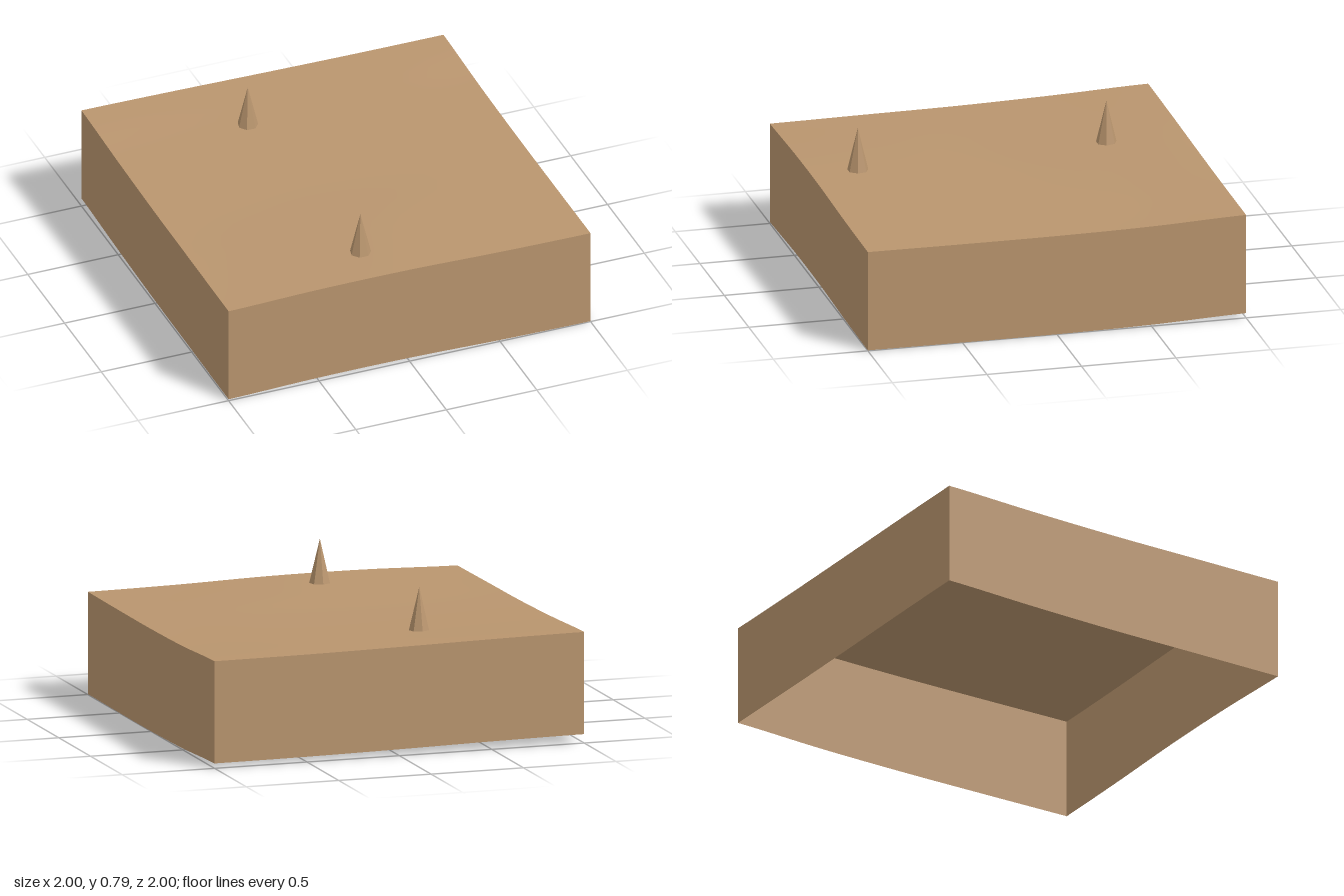
import * as THREE from 'three';

// Terrain heights on a coarse grid: rows run z = -1..1, columns x = -1..1
const HEIGHTS = [
  [0.580, 0.575, 0.567, 0.561, 0.559],
  [0.562, 0.560, 0.556, 0.550, 0.541],
  [0.550, 0.550, 0.549, 0.544, 0.534],
  [0.546, 0.551, 0.552, 0.546, 0.534],
  [0.542, 0.554, 0.554, 0.542, 0.536],
];
const DEPTH = 0.534;
const SEGMENTS = 24;

// Smooth interpolation through five evenly spaced values, t in -1..1
function smooth(values, t) {
  const s = THREE.MathUtils.clamp((t + 1) * 2, 0, 4);
  const i = Math.min(3, Math.floor(s));
  const f = s - i;
  const at = (k) => values[THREE.MathUtils.clamp(k, 0, 4)];
  const [a, b, c, d] = [at(i - 1), at(i), at(i + 1), at(i + 2)];
  return b + 0.5 * f * (c - a + f * (2 * a - 5 * b + 4 * c - d + f * (3 * (b - c) + d - a)));
}

const heightAt = (x, z) => smooth(HEIGHTS.map((row) => smooth(row, x)), z);

export function createModel() {
  const group = new THREE.Group();
  const earth = new THREE.MeshStandardMaterial({ color: 0xb9956e, side: THREE.DoubleSide });
  earth.name = 'earth';
  const stone = earth; // spikes share the ground colour

  const add = (name, geometry, material) => {
    const mesh = new THREE.Mesh(geometry, material);
    mesh.name = name;
    group.add(mesh);
    return mesh;
  };

  // Gently rolling ground
  const ground = new THREE.PlaneGeometry(2, 2, SEGMENTS, SEGMENTS).rotateX(-Math.PI / 2);
  const gp = ground.attributes.position;
  for (let i = 0; i < gp.count; i++) gp.setY(i, heightAt(gp.getX(i), gp.getZ(i)));
  ground.computeVertexNormals();
  add('ground', ground, earth);

  // Four skirt walls of constant depth, open underneath
  ['frontWall', 'leftWall', 'backWall', 'rightWall'].forEach((name, k) => {
    const wall = new THREE.PlaneGeometry(2, 1, SEGMENTS, 1).translate(0, 0, 1).rotateY(k * Math.PI / 2);
    const p = wall.attributes.position;
    for (let i = 0; i < p.count; i++) {
      const top = heightAt(p.getX(i), p.getZ(i));
      p.setY(i, p.getY(i) > 0 ? top : top - DEPTH);
    }
    add(name, wall, earth);
  });

  // Seven-sided spikes with flat facets
  const spike = new THREE.ConeGeometry(0.055, 0.23, 7, 1).rotateY(Math.PI).toNonIndexed();
  spike.computeVertexNormals();
  add('backSpike', spike, stone).position.set(-0.25, 0.67, -0.585);
  add('frontSpike', spike, stone).position.set(-0.17, 0.67, 0.75);

  return group;
}
